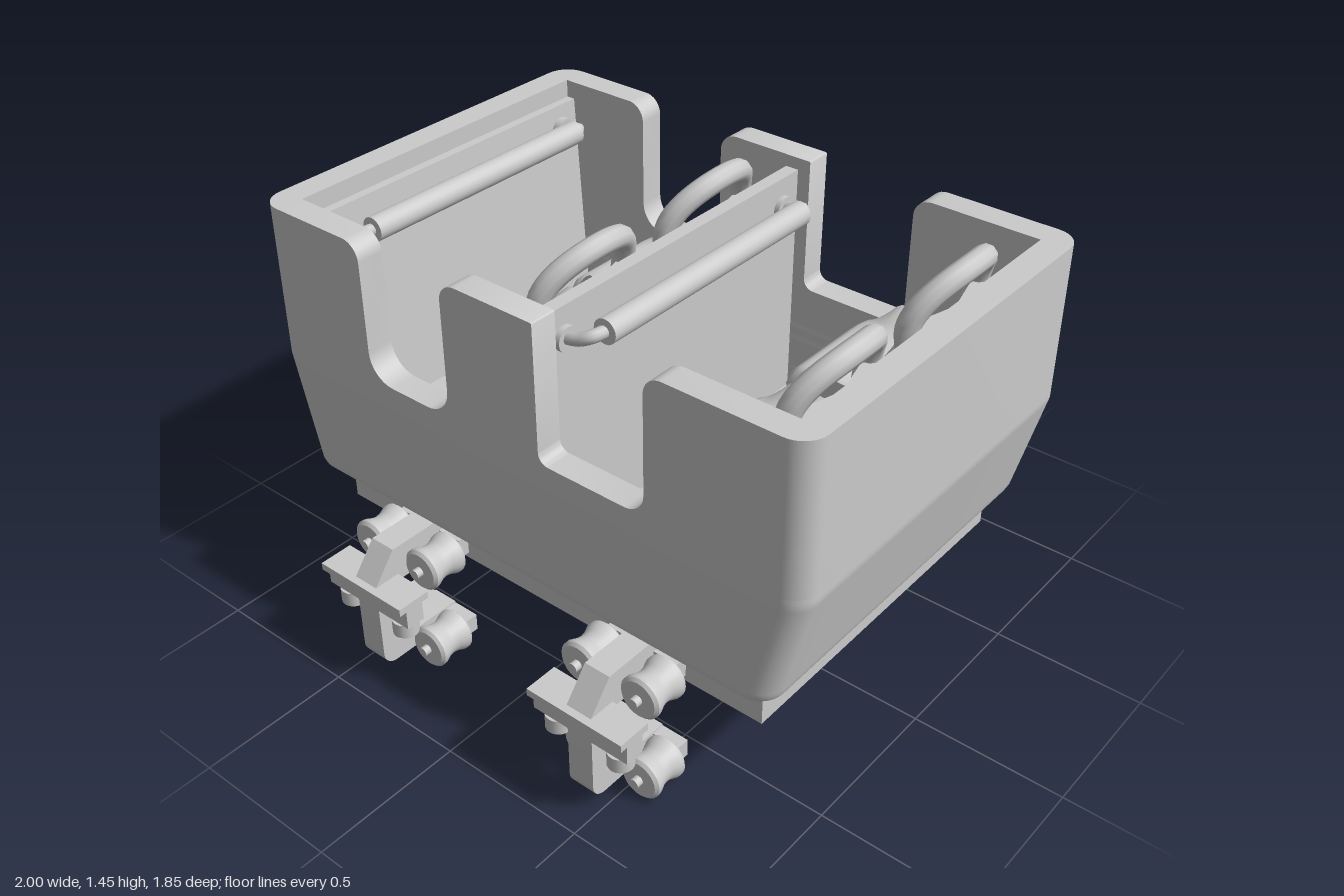
import * as THREE from 'three';
import { toCreasedNormals } from 'three/addons/utils/BufferGeometryUtils.js';

const mat = new THREE.MeshStandardMaterial({ color: 0xcccccc });

function add(parent, name, geo, x = 0, y = 0, z = 0) {
  const mesh = new THREE.Mesh(geo, mat);
  mesh.name = name;
  mesh.position.set(x, y, z);
  parent.add(mesh);
  return mesh;
}

function box(parent, name, x0, x1, y0, y1, z0, z1) {
  return add(parent, name, new THREE.BoxGeometry(x1 - x0, y1 - y0, z1 - z0),
    (x0 + x1) / 2, (y0 + y1) / 2, (z0 + z1) / 2);
}

// Polygon from [x, y, cornerRadius] points
function roundedPoly(pts, Type = THREE.Shape) {
  const path = new Type();
  const n = pts.length;
  pts.forEach(([x, y, r = 0], i) => {
    const p = new THREE.Vector2(x, y);
    const toward = (q) => p.clone().add(new THREE.Vector2(q[0] - x, q[1] - y).setLength(r));
    const a = toward(pts[(i + n - 1) % n]), b = toward(pts[(i + 1) % n]);
    if (i === 0) path.moveTo(a.x, a.y); else path.lineTo(a.x, a.y);
    if (r) {
      const k = 0.552, c1 = a.clone().lerp(p, k), c2 = b.clone().lerp(p, k);
      path.bezierCurveTo(c1.x, c1.y, c2.x, c2.y, b.x, b.y);
    }
  });
  path.closePath();
  return path;
}

const extrude = (shape, depth, steps = 1) =>
  new THREE.ExtrudeGeometry(shape, { depth, steps, bevelEnabled: false, curveSegments: 8 });

// Profile of [z, y, r] points extruded along x, centred on x = 0
const acrossX = (pts, width) => toCreasedNormals(
  extrude(roundedPoly(pts), width).translate(0, 0, -width / 2).rotateY(-Math.PI / 2), 0.6);

// Profile of [x, y, r] points extruded along z, centred on z = 0
const acrossZ = (pts, width) => toCreasedNormals(
  extrude(roundedPoly(pts), width).translate(0, 0, -width / 2), 0.6);

// Closed skin over rings of points, counter-clockwise about the loft axis
function loft(rings) {
  const n = rings[0].length, m = rings.length, pos = [], idx = [];
  rings.forEach((ring) => ring.forEach((p) => pos.push(...p)));
  for (let i = 0; i < m - 1; i++) {
    for (let j = 0; j < n; j++) {
      const a = i * n + j, b = i * n + (j + 1) % n;
      idx.push(a, b, a + n, b, b + n, a + n);
    }
  }
  [0, m - 1].forEach((i, end) => {
    const c = pos.length / 3;
    pos.push(...[0, 1, 2].map((k) => rings[i].reduce((s, p) => s + p[k], 0) / n));
    for (let j = 0; j < n; j++) {
      const a = i * n + j, b = i * n + (j + 1) % n;
      idx.push(c, end ? a : b, end ? b : a);
    }
  });
  const geo = new THREE.BufferGeometry();
  geo.setAttribute('position', new THREE.Float32BufferAttribute(pos, 3));
  geo.setIndex(idx);
  return toCreasedNormals(geo, 0.9);
}

const rect = (x, z, r) => [[-x, -z, r], [x, -z, r], [x, z, r], [-x, z, r]];

function makeBody() {
  const body = new THREE.Group();
  body.name = 'body';
  // Lower tub: a ring whose ends taper in and whose bottom edge is rounded
  const ring = roundedPoly(rect(1, 0.675, 0.08));
  ring.holes.push(roundedPoly(rect(0.91, 0.585, 0.02), THREE.Path));
  const tub = extrude(ring, 0.42, 28).rotateX(-Math.PI / 2).translate(0, 0.48, 0);
  const p = tub.attributes.position;
  for (let i = 0; i < p.count; i++) {
    const y = p.getY(i);
    const d = Math.max(0, 0.51 - y);
    const round = 0.03 - Math.sqrt(Math.max(0, 0.0009 - d * d));
    const taper = 0.09 * THREE.MathUtils.clamp((0.87 - y) / 0.37, 0, 1);
    p.setX(i, p.getX(i) - Math.sign(p.getX(i)) * (taper + round));
    p.setZ(i, p.getZ(i) - Math.sign(p.getZ(i)) * round);
  }
  add(body, 'lowerTub', toCreasedNormals(tub, 0.6));
  box(body, 'floor', -0.86, 0.86, 0.48, 0.55, -0.63, 0.63);

  // Upper side walls with two boarding cutouts
  const side = [
    [-0.915, 0.9], [-0.915, 1.39], [-0.57, 1.39, 0.06], [-0.57, 0.94, 0.09],
    [-0.24, 0.94, 0.09], [-0.24, 1.39, 0.06], [0.11, 1.39, 0.005], [0.11, 0.94, 0.035],
    [0.49, 0.94, 0.07], [0.49, 1.39, 0.06], [0.915, 1.39], [0.915, 0.9]];
  const end = [[0.91, -0.675], [1, -0.675, 0.08], [1, 0.675, 0.08], [0.91, 0.675]];
  for (const s of [-1, 1]) {
    add(body, 'sideWall', acrossZ(side, 0.09), 0, 0, s * 0.63);
    const wall = extrude(roundedPoly(end), 0.49).rotateX(-Math.PI / 2);
    add(body, 'endWall', toCreasedNormals(wall, 0.6), 0, 0.9, 0).rotation.y = s > 0 ? 0 : Math.PI;
  }

  // Interior panels and seat benches
  add(body, 'frontPanel', acrossZ([[-0.93, 1.33], [-0.88, 1.33], [-0.83, 0.55], [-0.93, 0.55]], 1.18));
  add(body, 'partition', acrossZ([[-0.05, 0.5], [-0.04, 0.9], [0.02, 1.35], [0.065, 1.35], [0.065, 0.5]], 1.18));
  add(body, 'rearPanel', acrossZ([[0.81, 0.5], [0.82, 0.9], [0.88, 1.35], [0.93, 1.35], [0.93, 0.87], [0.83, 0.5]], 1.18));
  box(body, 'frontBench', -0.46, -0.02, 0.52, 0.9, -0.59, 0.59);
  box(body, 'rearBench', 0.4, 0.83, 0.52, 0.9, -0.59, 0.59);
  return body;
}

function makeSeat() {
  const seat = new THREE.Group();
  seat.name = 'seat';
  const across = Array.from({ length: 17 }, (_, i) => i / 8 - 1);

  // Cushion with a rounded nose and raised side bolsters
  const cushion = [];
  for (let i = 0; i <= 24; i++) {
    const t = i / 24, s = Math.min(t / 0.3, 1), nose = Math.min(t / 0.12, 1);
    const w = 0.14 + 0.095 * Math.sqrt(1 - (1 - s) ** 2);
    const top = 0.93 + 0.07 * Math.sqrt(nose) - 0.02 * THREE.MathUtils.smoothstep(t, 0.2, 0.6);
    const bolster = 0.1 * THREE.MathUtils.smoothstep(t, 0.12, 0.35);
    const x = -0.48 + 0.43 * t;
    cushion.push([
      ...across.map((u) => [x, top + bolster * u ** 4 - 0.03 * u ** 16, u * w]),
      [x, 0.88, w * 0.92], [x, 0.88, -w * 0.92]]);
  }
  add(seat, 'cushion', loft(cushion));

  // Backrest shell wrapping forward at its sides
  const lean = (y) => -0.06 + (y - 0.94) * 0.14;
  const back = [];
  for (let i = 0; i <= 14; i++) {
    const v = i / 14, y = 0.92 + 0.36 * v;
    const w = 0.235 - 0.045 * THREE.MathUtils.smoothstep(v, 0.35, 1);
    const wing = 0.12 - 0.06 * THREE.MathUtils.smoothstep(v, 0.4, 1);
    const x = (u, t) => lean(y) - wing * Math.abs(u) ** 2.5 + t * (1 - 0.6 * u ** 8);
    back.push([
      ...across.map((u) => [x(u, 0.025), y, -u * w]),
      ...across.map((u) => [x(u, -0.025), y, u * w])]);
  }
  add(seat, 'backrest', loft(back));

  // Open headrest loop
  const loop = [];
  for (let i = 0; i < 28; i++) {
    const a = i / 28 * Math.PI * 2, c = Math.cos(a), y = 1.27 + 0.157 * Math.sin(a);
    loop.push(new THREE.Vector3(lean(y) - 0.06 * c * c, y, 0.185 * c));
  }
  add(seat, 'headrestLoop', new THREE.TubeGeometry(new THREE.CatmullRomCurve3(loop, true), 56, 0.036, 10, true));
  return seat;
}

function makeLapBar() {
  const bar = new THREE.Group();
  bar.name = 'grabBar';
  add(bar, 'grip', new THREE.CylinderGeometry(0.04, 0.04, 0.91, 20).rotateX(Math.PI / 2), 0, 1.285, 0);
  for (const s of [-1, 1]) {
    const path = new THREE.CatmullRomCurve3([[-0.11, 1.25, 0.505], [-0.05, 1.265, 0.505],
      [-0.015, 1.28, 0.49], [0, 1.285, 0.44]].map(([x, y, z]) => new THREE.Vector3(x, y, s * z)));
    add(bar, 'barArm', new THREE.TubeGeometry(path, 16, 0.02, 10));
    add(bar, 'barMount', new THREE.CylinderGeometry(0.04, 0.04, 0.025, 16).rotateZ(Math.PI / 2), -0.1, 1.25, s * 0.505);
  }
  return bar;
}

// Wheel carrier for the +z side
function makeWheelCarrier() {
  const g = new THREE.Group();
  g.name = 'wheelCarrier';
  add(g, 'upperArm', acrossX([[0.55, 0.345], [0.55, 0.47], [0.82, 0.47], [0.9, 0.37], [0.9, 0.345]], 0.09));
  box(g, 'flange', -0.175, 0.175, 0.345, 0.37, 0.81, 0.925);
  box(g, 'crossPlate', -0.175, 0.175, 0.28, 0.345, 0.835, 0.9);
  add(g, 'lowerArm', acrossX([[0.84, 0.3], [0.9, 0.3], [0.9, 0.05, 0.05], [0.59, 0.05],
    [0.59, 0.115], [0.84, 0.115, 0.02]], 0.09));
  const spool = [[0.001, -0.067], [0.06, -0.067], [0.07, -0.058], [0.07, -0.045], [0.06, -0.02], [0.057, 0],
    [0.06, 0.02], [0.07, 0.045], [0.07, 0.058], [0.06, 0.067], [0.001, 0.067]].map((q) => new THREE.Vector2(...q));
  const spoolGeo = toCreasedNormals(new THREE.LatheGeometry(spool, 24).rotateX(Math.PI / 2), 0.7);
  for (const s of [-1, 1]) {
    for (const y of [0.08, 0.395]) {
      add(g, 'spoolWheel', spoolGeo, s * 0.112, y, 0.712);
      add(g, 'axle', new THREE.CylinderGeometry(0.016, 0.016, 0.18, 12).rotateX(Math.PI / 2), s * 0.112, y, 0.712);
    }
    add(g, 'guideWheel', new THREE.CylinderGeometry(0.041, 0.041, 0.05, 20), s * 0.117, 0.243, 0.86);
    add(g, 'guideAxle', new THREE.CylinderGeometry(0.014, 0.014, 0.1, 10), s * 0.117, 0.25, 0.86);
  }
  box(g, 'lowerAxleBeam', -0.14, 0.14, 0.05, 0.11, 0.59, 0.635);
  box(g, 'upperAxleBeam', -0.13, 0.13, 0.36, 0.43, 0.57, 0.63);
  return g;
}

export function createModel() {
  const model = new THREE.Group();
  model.name = 'coasterCar';
  model.add(makeBody());

  // Chassis with two buffers at the leading end
  box(model, 'chassis', -0.82, 0.84, 0.34, 0.48, -0.59, 0.59);
  for (const z of [-0.1, 0.1]) {
    const profile = [[0.001, 0], [0.055, 0], [0.055, 0.065], [0.04, 0.07], [0.04, 0.08], [0.055, 0.085],
      [0.05, 0.14], [0.05, 0.17]].map((q) => new THREE.Vector2(...q));
    const geo = toCreasedNormals(new THREE.LatheGeometry(profile, 20).rotateZ(-Math.PI / 2), 0.6);
    add(model, 'buffer', geo, -0.97, 0.405, z);
  }

  for (const x of [0, 0.86]) {
    for (const z of [-0.28, 0.28]) {
      const seat = makeSeat();
      seat.position.set(x, 0, z);
      model.add(seat);
    }
  }
  for (const x of [-0.76, 0.17]) {
    const bar = makeLapBar();
    bar.position.x = x;
    model.add(bar);
  }
  for (const x of [-0.43, 0.44]) {
    for (const turn of [0, Math.PI]) {
      const carrier = makeWheelCarrier();
      carrier.position.x = x;
      carrier.rotation.y = turn;
      model.add(carrier);
    }
  }
  return model;
}
